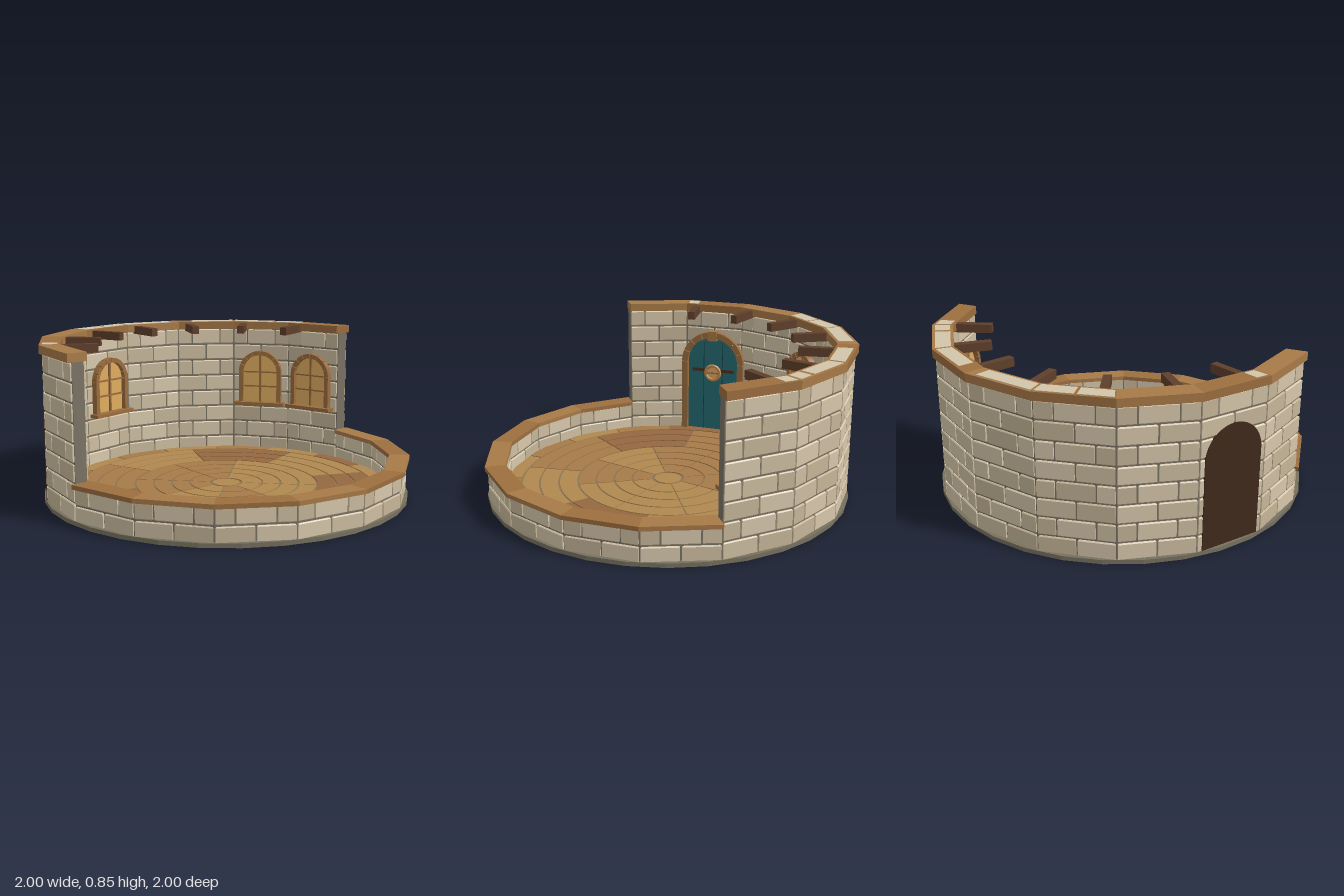
import * as THREE from 'three';
import { mergeGeometries } from 'three/addons/utils/BufferGeometryUtils.js';

const SEG = 16, STEP = (Math.PI * 2) / SEG, START = THREE.MathUtils.degToRad(-4);
const R_IN = 0.9, R_OUT = 0.985, FACE = R_IN * Math.cos(STEP / 2);
const isTall = k => k >= 6 && k < 14;
const deg = THREE.MathUtils.degToRad;
const mats = {};
const mat = c => (mats[c] ??= new THREE.MeshStandardMaterial({ color: c, flatShading: true, roughness: 0.9 }));

function add(parent, name, geo, color, x = 0, y = 0, z = 0) {
  const m = new THREE.Mesh(geo, mat(color));
  m.name = name;
  m.position.set(x, y, z);
  parent.add(m);
  return m;
}
const box = (w, h, d) => new THREE.BoxGeometry(w, h, d);

// extrude a floor-plan shape (x, z) between two heights
function plan(shape, y0, y1, bevel = 0) {
  const g = new THREE.ExtrudeGeometry(shape, {
    depth: y1 - y0 - 2 * bevel, bevelEnabled: bevel > 0, bevelSize: bevel, bevelOffset: -bevel,
    bevelThickness: bevel, bevelSegments: 1, curveSegments: 6,
  });
  return g.rotateX(Math.PI / 2).translate(0, y1 - bevel, 0);
}

// piece of straight wall segment k, from fraction t0 to t1 of its length
function wallQuad(k, r0, r1, t0 = 0, t1 = 1, gap = 0) {
  const corner = (r, t) => {
    const a = START + k * STEP;
    const p = new THREE.Vector2(Math.cos(a), Math.sin(a)).multiplyScalar(r);
    return p.lerp(new THREE.Vector2(Math.cos(a + STEP), Math.sin(a + STEP)).multiplyScalar(r), t);
  };
  t0 += gap; t1 -= gap;
  return new THREE.Shape([corner(r0, t0), corner(r1, t0), corner(r1, t1), corner(r0, t1)]);
}

function ringSector(r0, r1, a0, a1) {
  const s = new THREE.Shape();
  s.absarc(0, 0, r1, a0, a1, false);
  s.absarc(0, 0, r0, a1, a0, true);
  return s;
}

// arched panel standing on y0, with a half circle above ySpring
function archPanel(half, y0, ySpring, depth) {
  const s = new THREE.Shape();
  s.moveTo(-half, y0);
  s.lineTo(half, y0);
  s.absarc(0, ySpring, half, 0, Math.PI, false);
  s.closePath();
  return new THREE.ExtrudeGeometry(s, { depth, bevelEnabled: false, curveSegments: 10 });
}

// two posts and a ring of arch blocks
function archFrame(parent, name, half, t, y0, ySpring, depth, blocks, color) {
  for (const s of [-1, 1]) add(parent, name + 'Post', box(t, ySpring - y0, depth), color, s * (half + t / 2), (y0 + ySpring) / 2, depth / 2);
  const parts = [];
  for (let i = 0; i < blocks; i++) {
    const a = (Math.PI * i) / blocks, g = 0.012;
    parts.push(new THREE.ExtrudeGeometry(ringSector(half, half + t, a + g, a + Math.PI / blocks - g),
      { depth, bevelEnabled: false, curveSegments: 3 }));
  }
  add(parent, name + 'Arch', mergeGeometries(parts), color, 0, ySpring, 0);
}

// group on the inner face of segment k, with local +z pointing into the room
function onWall(root, name, k) {
  const a = START + (k + 0.5) * STEP, g = new THREE.Group();
  g.name = name;
  g.position.set(Math.cos(a) * FACE, 0, Math.sin(a) * FACE);
  g.rotation.y = Math.atan2(-Math.cos(a), -Math.sin(a));
  root.add(g);
  return g;
}

function buildWalls(root) {
  const tones = [0xd8c8ac, 0xcfbfa2, 0xc6b699], bricks = [[], [], []], core = [];
  const trims = [[], []], patches = [];
  for (let k = 0; k < SEG; k++) {
    const rows = isTall(k) ? 8 : 2, h = isTall(k) ? 0.0985 : 0.09, top = 0.012 + rows * h;
    core.push(plan(wallQuad(k, R_IN + 0.009, R_OUT - 0.009), 0.005, top));
    for (let r = 0; r < rows; r++) {
      const cuts = r % 2 ? [0, 0.25, 0.75, 1] : [0, 0.5, 1];
      for (let i = 0; i + 1 < cuts.length; i++) {
        const shape = wallQuad(k, R_IN, R_OUT, cuts[i], cuts[i + 1], 0.012);
        bricks[(k * 5 + r * 7 + i * 2 + ((k * r) % 3)) % 3].push(plan(shape, 0.012 + r * h + 0.005, 0.012 + (r + 1) * h - 0.004, 0.005));
      }
    }
    trims[k % 2].push(plan(wallQuad(k, 0.89, 1), isTall(k) ? 0.8 : 0.187, isTall(k) ? 0.844 : 0.21));
  }
  add(root, 'mortar', mergeGeometries(core), 0x7a7264);
  bricks.forEach((b, i) => add(root, 'bricks', mergeGeometries(b), tones[i]));
  trims.forEach((t, i) => add(root, 'woodCapping', mergeGeometries(t), [0xa87a48, 0x9c6e3f][i]));

  // pale stone showing through the top capping
  for (const [k, t0, t1] of [[7, 0.03, 0.2], [9, 0.02, 0.46], [9, 0.5, 0.98], [10, 0.02, 0.86], [11, 0.25, 0.97],
    [12, 0.02, 0.68], [12, 0.75, 0.97], [13, 0.02, 0.2]]) patches.push(plan(wallQuad(k, 0.905, 0.985, t0, t1), 0.84, 0.846));
  add(root, 'cappingStones', mergeGeometries(patches), 0xd2c5aa);
}

function buildFloor(root) {
  add(root, 'foundation', new THREE.CylinderGeometry(0.99, 0.99, 0.022, 32), 0x77715f, 0, 0.013, 0);
  add(root, 'floorUnderside', new THREE.CylinderGeometry(0.93, 0.93, 0.03, 32), 0x4a3220, 0, 0.0155, 0);
  add(root, 'floorJoints', new THREE.CylinderGeometry(0.895, 0.895, 0.01, 48), 0x8a7552, 0, 0.032, 0);
  add(root, 'floorHub', new THREE.CylinderGeometry(0.075, 0.075, 0.012, 16), 0xb08850, 0, 0.036, 0);

  const tones = [0xb08850, 0xa67a48, 0x946840], planks = [[], [], []];
  const radii = [0.085, 0.2, 0.3, 0.4, 0.5, 0.605, 0.71, 0.81, 0.895];
  for (let i = 0; i + 1 < radii.length; i++) {
    const outer = i >= 4, n = i === 7 ? 16 : 8, w = 360 / n;
    for (let j = 0; j < n; j++) {
      const a0 = j * w + (i === 7 ? 11.25 : outer ? 22.5 : 0);
      let tone = outer ? (j % 2) : [0, 1, 0, 1, 1, 1, 0, 0][j];
      if (outer && i < 7 && [2, 5, 7].includes(j)) tone = 2;
      if (i === 7 && (j === 13 || j === 6)) tone = 2;
      const g = 0.004 / radii[i + 1];
      planks[tone].push(plan(ringSector(radii[i] + 0.005, radii[i + 1] - 0.005, deg(a0) + g, deg(a0 + w) - g), 0.034, 0.042));
    }
  }
  planks.forEach((p, i) => add(root, 'floorPlanks', mergeGeometries(p), tones[i]));
}

function buildDoor(root) {
  const d = onWall(root, 'door', 7), dark = 0x4a3222, wood = 0x9b6d3e, gold = 0xc08a4a;
  add(d, 'doorOutside', archPanel(0.165, 0.02, 0.485, 0.01), 0x3f2a1c, 0, 0, -0.088);
  add(d, 'doorPanel', archPanel(0.165, 0.03, 0.48, 0.008), 0x246a70);
  archFrame(d, 'doorFrame', 0.16, 0.037, 0.03, 0.48, 0.035, 8, wood);
  add(d, 'keystone', box(0.055, 0.06, 0.045), 0xa87a48, 0, 0.655, 0.022);
  for (const x of [-0.06, 0.06]) add(d, 'plankJoint', box(0.004, 0.57, 0.003), 0x163f44, x, 0.325, 0.009);
  add(d, 'strap', box(0.27, 0.02, 0.008), dark, 0, 0.43, 0.012);
  add(d, 'portholeRim', new THREE.TorusGeometry(0.045, 0.011, 6, 16), gold, 0, 0.415, 0.018);
  add(d, 'portholePane', new THREE.CylinderGeometry(0.042, 0.042, 0.01, 16), 0xd9a865, 0, 0.415, 0.015).rotation.x = Math.PI / 2;
  add(d, 'portholeBar', box(0.08, 0.008, 0.008), wood, 0, 0.415, 0.022);
  add(d, 'handleRing', new THREE.TorusGeometry(0.025, 0.007, 6, 14), wood, 0.1, 0.235, 0.022);
  add(d, 'handleBoss', box(0.022, 0.03, 0.025), wood, 0.1, 0.265, 0.018);
}

function buildWindow(root, k) {
  const w = onWall(root, 'window', k), wood = 0x9b6d3e;
  add(w, 'pane', archPanel(0.112, 0.335, 0.53, 0.008), 0xe0ad60);
  archFrame(w, 'windowFrame', 0.108, 0.026, 0.335, 0.53, 0.035, 8, wood);
  add(w, 'mullion', box(0.012, 0.3, 0.016), wood, 0, 0.488, 0.012);
  for (const y of [0.44, 0.53]) add(w, 'glazingBar', box(0.216, 0.009, 0.014), wood, 0, y, 0.012);
  add(w, 'sill', box(0.31, 0.02, 0.06), wood, 0, 0.332, 0.03);
}

export function createModel() {
  const root = new THREE.Group();
  root.name = 'roundRoom';
  buildFloor(root);
  buildWalls(root);
  buildDoor(root);
  for (const k of [9, 12, 13]) buildWindow(root, k);

  // short ceiling beams pointing at the centre
  for (let i = 0; i < 7; i++) {
    const a = deg(157.5 + i * 22.5);
    add(root, 'ceilingBeam', box(0.22, 0.046, 0.04), 0x5f3f2b, Math.cos(a) * 0.8, 0.812, Math.sin(a) * 0.8).rotation.y = -a;
  }
  return root;
}
